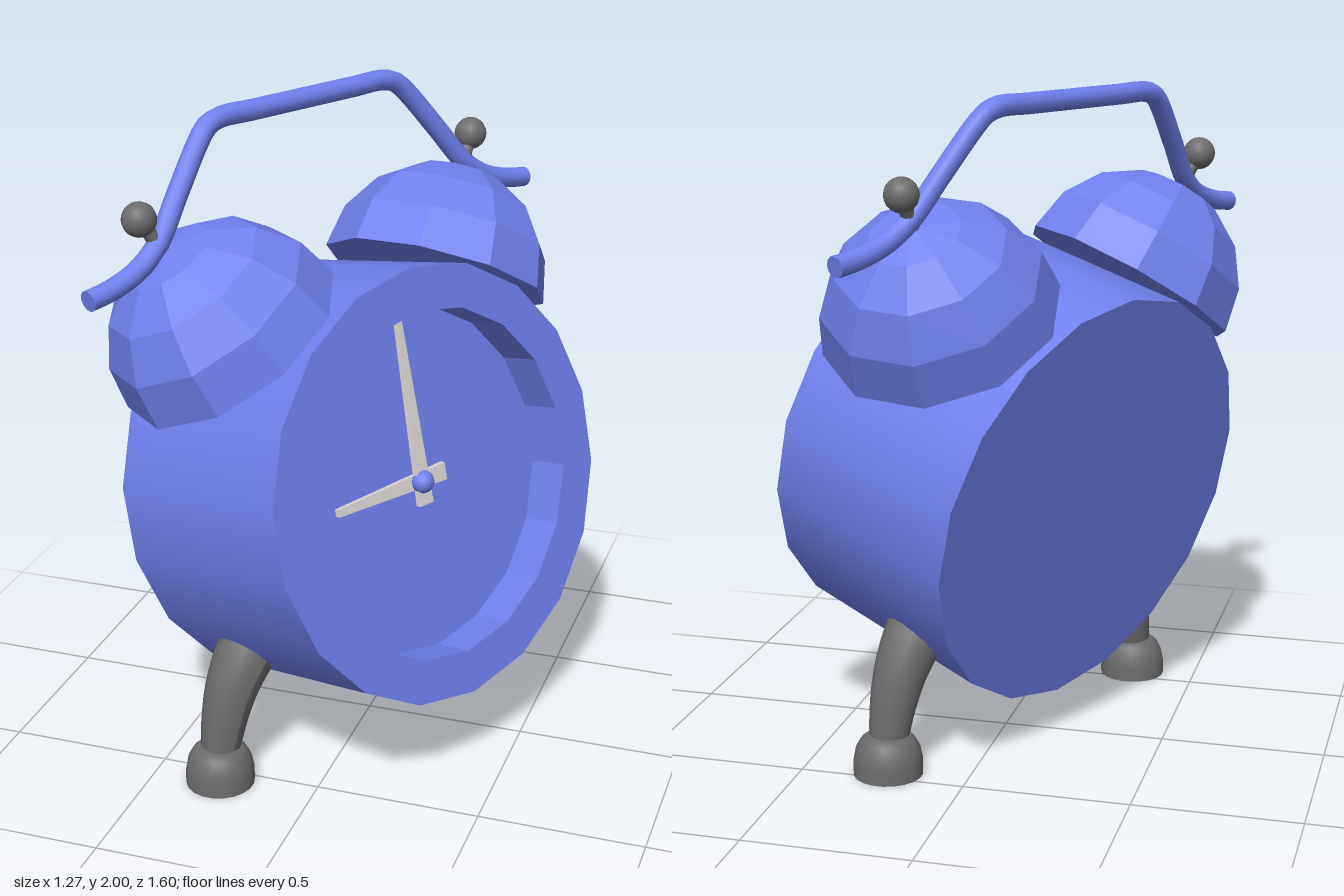
import * as THREE from 'three';

const mat = (color, extra = {}) => new THREE.MeshStandardMaterial({ color, ...extra });
const blue = mat(0x7080ee);
const blueFlat = mat(0x7080ee, { flatShading: true });
const blueInside = mat(0x7080ee, { flatShading: true, side: THREE.BackSide });
const grey = mat(0x6c6c6c);
const pale = mat(0xdcd8d4);

function add(parent, name, geometry, material, x = 0, y = 0, z = 0) {
  const mesh = new THREE.Mesh(geometry, material);
  mesh.name = name;
  mesh.position.set(x, y, z);
  parent.add(mesh);
  return mesh;
}

// Drum-shaped case with a recessed dial
function addCase(parent) {
  const R = 0.65, inner = 0.52, half = 0.345, recess = 0.13, n = 18, up = Math.PI / 2;
  add(parent, 'caseSide', new THREE.CylinderGeometry(R, R, half * 2, n, 1, true).rotateX(up), blue);
  add(parent, 'caseBack', new THREE.CircleGeometry(R, n, up).rotateY(Math.PI), blue, 0, 0, -half);
  add(parent, 'frontRim', new THREE.RingGeometry(inner, R, n, 1, up), blue, 0, 0, half);
  add(parent, 'rimInside', new THREE.CylinderGeometry(inner, inner, recess, n, 1, true).rotateX(up),
    blueInside, 0, 0, half - recess / 2);
  add(parent, 'dial', new THREE.CircleGeometry(inner, n, up), blue, 0, 0, half - recess);
}

// Tapered clock hand pointing up, with a short tail past the pivot
function handGeometry(length, tail, baseWidth, tipWidth) {
  const b = baseWidth / 2, t = tipWidth / 2;
  const shape = new THREE.Shape([
    new THREE.Vector2(-b, -tail), new THREE.Vector2(b, -tail),
    new THREE.Vector2(t, length), new THREE.Vector2(-t, length),
  ]);
  return new THREE.ExtrudeGeometry(shape, { depth: 0.018, bevelEnabled: false });
}

function addHands(parent) {
  add(parent, 'minuteHand', handGeometry(0.485, 0.07, 0.054, 0.018), pale, 0, 0, 0.245);
  add(parent, 'hourHand', handGeometry(0.325, 0.11, 0.054, 0.022), pale, 0, 0, 0.228)
    .rotation.z = Math.PI / 2;
  add(parent, 'handHub', new THREE.SphereGeometry(0.035, 14, 10), blue, 0, 0, 0.258);
}

// Faceted dome bell on a post topped by a ball
function addBell(parent, side) {
  const bell = new THREE.Group();
  bell.name = side > 0 ? 'leftBell' : 'rightBell';
  bell.position.set(side * 0.418, 0.525, 0);
  bell.rotation.z = -side * 0.54;
  add(bell, 'dome', new THREE.SphereGeometry(0.353, 10, 4, 0, Math.PI * 2, 0, Math.PI / 2), blueFlat);
  add(bell, 'domeBase', new THREE.CircleGeometry(0.353, 10, Math.PI).rotateX(Math.PI / 2), blueFlat);
  add(bell, 'post', new THREE.CylinderGeometry(0.02, 0.028, 0.56, 12), grey, 0, 0.17, 0);
  add(bell, 'knob', new THREE.SphereGeometry(0.05, 16, 12), grey, 0, 0.466, 0);
  parent.add(bell);
}

// Bent carrying handle over both bells
function addHandle(parent) {
  const half = [[0.87, 0.745], [0.79, 0.757], [0.69, 0.79], [0.61, 0.845], [0.515, 0.965],
    [0.41, 1.095], [0.37, 1.132], [0.32, 1.147], [0.2, 1.147]];
  const path = [...half.map(([x, y]) => [-x, y]), ...[...half].reverse()];
  const curve = new THREE.CatmullRomCurve3(path.map(([x, y]) => new THREE.Vector3(x, y, 0)));
  const r = 0.031;
  add(parent, 'handle', new THREE.TubeGeometry(curve, 72, r, 12), blue);
  for (const t of [0, 1]) {
    const p = curve.getPointAt(t), dir = curve.getTangentAt(t).multiplyScalar(t ? 1 : -1);
    const cap = add(parent, 'handleEnd', new THREE.CircleGeometry(r, 12), blue, p.x, p.y, p.z);
    cap.quaternion.setFromUnitVectors(new THREE.Vector3(0, 0, 1), dir);
  }
}

// Curved leg widening upwards, standing on a rounded foot
function addLeg(parent, side) {
  const leg = new THREE.Group();
  leg.name = side > 0 ? 'leftLeg' : 'rightLeg';
  const curve = new THREE.CatmullRomCurve3(
    [[0.573, 0.08], [0.552, 0.2], [0.515, 0.31], [0.46, 0.4], [0.4, 0.47]]
      .map(([x, y]) => new THREE.Vector3(side * x, y, 0)));
  const steps = 12, sides = 14;
  const shaft = new THREE.TubeGeometry(curve, steps, 1, sides);
  const pos = shaft.attributes.position, v = new THREE.Vector3();
  for (let i = 0; i < pos.count; i++) {
    const t = Math.floor(i / (sides + 1)) / steps;
    const c = curve.getPointAt(t);
    v.fromBufferAttribute(pos, i).sub(c).multiplyScalar(0.056 + 0.036 * Math.min(1, t * 1.3)).add(c);
    pos.setXYZ(i, v.x, v.y, v.z);
  }
  shaft.computeVertexNormals();
  add(leg, 'shaft', shaft, grey);
  const profile = [[0.104, 0], [0.104, 0.045], [0.097, 0.08], [0.082, 0.108], [0.062, 0.124], [0, 0.127]]
    .map(([x, y]) => new THREE.Vector2(x, y));
  add(leg, 'foot', new THREE.LatheGeometry(profile, 20), grey, side * 0.573, 0, 0);
  add(leg, 'sole', new THREE.CircleGeometry(0.104, 20).rotateX(Math.PI / 2), grey, side * 0.573, 0, 0);
  parent.add(leg);
}

export function createModel() {
  const model = new THREE.Group();
  model.name = 'alarmClock';

  // Whole clock turned about the vertical axis
  const turned = new THREE.Group();
  turned.name = 'turnedClock';
  turned.rotation.y = THREE.MathUtils.degToRad(62.1);
  model.add(turned);

  // Case, bells and handle lean back together
  const body = new THREE.Group();
  body.name = 'leaningBody';
  body.position.set(-0.055, 0.85, 0.03);
  body.rotation.x = THREE.MathUtils.degToRad(-12.6);
  turned.add(body);
  addCase(body);
  addHands(body);
  addHandle(body);

  // Legs stay upright
  const legs = new THREE.Group();
  legs.name = 'legs';
  legs.position.x = -0.055;
  turned.add(legs);

  for (const side of [-1, 1]) {
    addBell(body, side);
    addLeg(legs, side);
  }
  return model;
}
